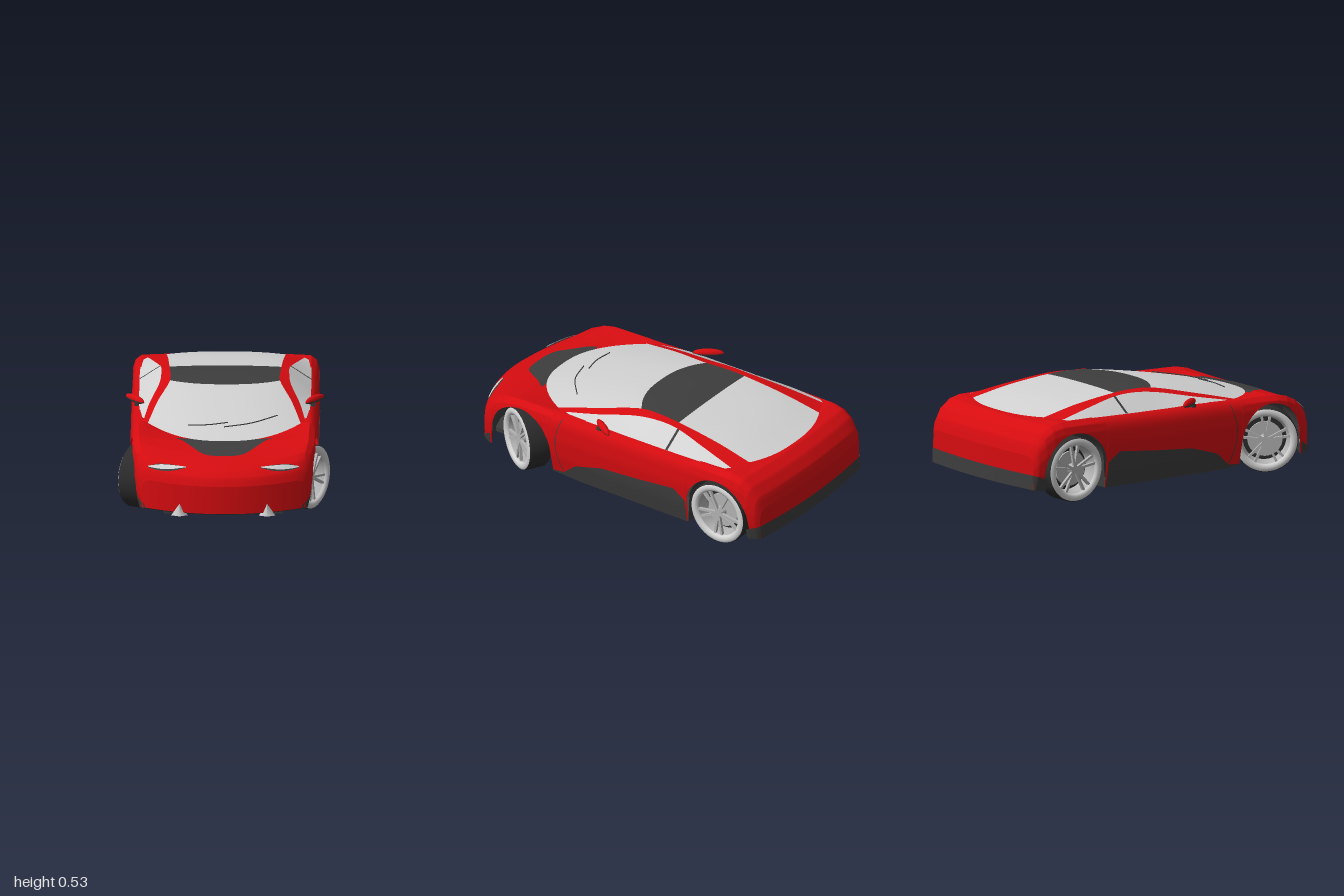
import * as THREE from 'three';

const mat = (name, color) => {
  const m = new THREE.MeshStandardMaterial({ color, side: THREE.DoubleSide });
  m.name = name;
  return m;
};
const { lerp, smoothstep } = THREE.MathUtils;

// Piecewise interpolation in rows [key, value, value...], keys ascending
function keyed(rows, t, col = 1) {
  let i = 0;
  while (i < rows.length - 2 && t > rows[i + 1][0]) i++;
  const a = rows[i], b = rows[i + 1];
  const k = Math.min(1, Math.max(0, (t - a[0]) / (b[0] - a[0])));
  return lerp(a[col], b[col], k);
}

// Surface from a rule fn(u, v) -> [x, y, z], turned to face away from the car's middle
function grid(fn, nu, nv) {
  const pos = [], index = [];
  for (let i = 0; i <= nu; i++) for (let j = 0; j <= nv; j++) pos.push(...fn(i / nu, j / nv));
  const p = (u, v) => new THREE.Vector3(...fn(u, v));
  const c = p(0.5, 0.5);
  const n = p(0.52, 0.5).sub(p(0.48, 0.5)).cross(p(0.5, 0.52).sub(p(0.5, 0.48)));
  const out = n.dot(c.clone().sub(new THREE.Vector3(0, 0.2, c.z * 0.7))) > 0;
  for (let i = 0; i < nu; i++) for (let j = 0; j < nv; j++) {
    const a = i * (nv + 1) + j, b = a + nv + 1;
    if (out) index.push(a, b, b + 1, a, b + 1, a + 1);
    else index.push(a, b + 1, b, a, a + 1, b + 1);
  }
  const g = new THREE.BufferGeometry();
  g.setAttribute('position', new THREE.Float32BufferAttribute(pos, 3));
  g.setIndex(index);
  g.computeVertexNormals();
  return g;
}

// Body stations: z, half width, lower edge, shoulder height, centre height
const STATIONS = [
  [-1, 0.455, 0.09, 0.27, 0.275], [-0.985, 0.478, 0.085, 0.33, 0.34], [-0.94, 0.495, 0.08, 0.39, 0.397],
  [-0.88, 0.503, 0.08, 0.425, 0.43], [-0.8, 0.505, 0.07, 0.44, 0.432], [-0.6, 0.505, 0.05, 0.44, 0.4],
  [-0.2, 0.505, 0.05, 0.43, 0.36], [0.2, 0.505, 0.05, 0.425, 0.36], [0.4, 0.505, 0.06, 0.418, 0.36],
  [0.67, 0.505, 0.06, 0.41, 0.385], [0.8, 0.5, 0.06, 0.395, 0.36], [0.9, 0.485, 0.062, 0.365, 0.325],
  [0.95, 0.475, 0.065, 0.33, 0.3], [0.985, 0.46, 0.07, 0.285, 0.27], [1, 0.44, 0.078, 0.235, 0.23],
];
const SIDE = [[0, 0.94], [0.3, 0.985], [0.6, 1], [0.82, 0.988], [0.93, 0.965], [1, 0.9]];
const FRONT = 0.59, REAR = -0.71, ARCH = 0.2;
const st = (t, c) => keyed(STATIONS, t, c);
// Nose and tail are bowed in plan
const bend = (t, x) => t - (0.7 * smoothstep(t, 0.55, 1) - 0.16 * smoothstep(-t, 0.7, 1)) * x * x;

function lowerEdge(t) {
  const z = bend(t, st(t, 1));
  let y = st(t, 2);
  for (const c of [FRONT, REAR]) {
    const d = ARCH * ARCH - (z - c) ** 2;
    if (d > 0) y = Math.max(y, 0.175 + Math.sqrt(d));
  }
  return Math.min(y, st(t, 3) - 0.015);
}
function sideAt(t, y, sign, off = 0) {
  const f = (y - st(t, 2)) / (st(t, 3) - st(t, 2));
  const x = st(t, 1) * keyed(SIDE, f);
  return [sign * (x + off), y, bend(t, x) + off * Math.sign(t) * smoothstep(Math.abs(t), 0.85, 1)];
}
function topAt(t, x, off = 0) {
  const r = Math.abs(x) / (st(t, 1) * 0.9);
  return [x, lerp(st(t, 4), st(t, 3), Math.min(1, r) ** 2.5) + off, bend(t, x) + off * smoothstep(t, 0.85, 1)];
}
function skin(t, s) {
  const sign = s < 0 ? -1 : 1, a = 1 - Math.abs(s);
  if (a < 0.6) return sideAt(t, lerp(lowerEdge(t), st(t, 3), a / 0.6), sign);
  return topAt(t, sign * st(t, 1) * 0.9 * (1 - (a - 0.6) / 0.4));
}

// Cabin curves, front to back: glass edge, window top, belt line, and bow/crown of the centre
const curve = (pts) => new THREE.CatmullRomCurve3(pts.map((p) => new THREE.Vector3(...p)));
const GLASS = curve([[0.41, 0.412, 0.4], [0.36, 0.465, 0.17], [0.295, 0.513, -0.07], [0.295, 0.521, -0.2],
  [0.3, 0.516, -0.32], [0.31, 0.487, -0.58], [0.32, 0.445, -0.8]]);
const WINDOW = curve([[0.435, 0.413, 0.36], [0.402, 0.453, 0.15], [0.352, 0.497, -0.07], [0.343, 0.512, -0.2],
  [0.345, 0.51, -0.33], [0.385, 0.478, -0.55], [0.42, 0.442, -0.75]]);
const BELT = curve([[0.45, 0.414, 0.3], [0.458, 0.426, 0.15], [0.461, 0.428, -0.07], [0.461, 0.43, -0.2],
  [0.461, 0.432, -0.33], [0.459, 0.437, -0.55], [0.445, 0.438, -0.72]]);
const CROWN = curve([[0.27, -0.022, 0], [0.18, -0.004, 0], [0.09, 0.004, 0], [0.045, 0.007, 0],
  [0, 0.007, 0], [-0.03, 0.008, 0], [-0.07, -0.004, 0]]);

function centre(v, u, off = 0) {
  const p = GLASS.getPoint(v), c = CROWN.getPoint(v), k = 1 - Math.abs(u) ** 2.5;
  return [p.x * u, p.y + c.y * k + off, p.z + c.x * k];
}
function strip(a, b, sign, v0, v1, off = 0) {
  return (u, w) => {
    const v = lerp(v0, v1, u), p = a.getPoint(v).lerp(b.getPoint(v), w);
    return [sign * (p.x + off), p.y + off, p.z];
  };
}

export function createModel() {
  const car = new THREE.Group();
  car.name = 'sportsCar';
  const red = mat('red paint', 0xd60c10), dark = mat('dark trim', 0x3d3d3d), light = mat('pale glass', 0xd2d2d2);
  const rubber = mat('tyre rubber', 0x2c2c2c), metal = mat('wheel metal', 0xb4b4b4);
  const add = (name, geo, m, parent = car) => {
    const mesh = new THREE.Mesh(geo, m);
    mesh.name = name;
    parent.add(mesh);
    return mesh;
  };

  // Painted shell with wheel arches, closed nose and tail
  add('bodyShell', grid((u, v) => skin(lerp(-1, 1, u), lerp(-1, 1, v)), 260, 60), red);
  for (const t of [1, -1]) {
    const face = (top, off) => (u, v) => {
      const p = skin(t, lerp(-1, 1, u));
      return [p[0], lerp(st(t, 2), Math.min(top, p[1]), v), p[2] + off * t];
    };
    add(t > 0 ? 'noseFace' : 'tailFace', grid(face(1, 0), 60, 3), red);
    if (t < 0) add('rearDiffuser', grid(face(0.17, 0.005), 60, 2), dark);
  }

  // Underside, wheel wells and floor
  add('underside', grid((u, v) => {
    const t = lerp(-1, 1, u), x = lerp(-0.94, 0.94, v) * st(t, 1);
    return [x, lowerEdge(t), bend(t, x)];
  }, 260, 12), dark);
  add('floorPan', new THREE.BoxGeometry(0.54, 0.27, 1.66), dark).position.set(0, 0.188, 0);
  add('frontLip', new THREE.BoxGeometry(0.64, 0.025, 0.1), dark).position.set(0, 0.068, 0.86);

  // Windscreen, roof and rear window
  const panel = (v0, v1) => grid((u, v) => centre(lerp(v0, v1, u), lerp(-1, 1, v)), 24, 32);
  add('windscreen', panel(0, 2 / 6), light);
  add('roof', panel(2 / 6, 4 / 6), dark);
  add('rearWindow', panel(4 / 6, 1), light);

  // Hood panel
  add('hoodPanel', grid((u, v) => {
    const k = lerp(-1, 1, v);
    return topAt(lerp(0.62, 0.83 - 0.03 * k ** 4, u), lerp(0.26, 0.13, u) * k, 0.004);
  }, 14, 20), dark);

  // Wipers
  for (const [v, a, b] of [[0.07, -0.5, 0.05], [0.075, 0, 0.75]]) {
    const pts = [0, 0.5, 1].map((k) => centre(v + 0.03 * k, lerp(a, b, k), 0.005));
    add('wiper', new THREE.TubeGeometry(curve(pts), 10, 0.003, 5), dark);
  }

  const SILL = [[-0.505, 0.19], [-0.43, 0.245], [-0.2, 0.22], [0.05, 0.2], [0.22, 0.15], [0.31, 0.075], [0.385, 0.068]];
  for (const s of [1, -1]) {
    // Roof pillars and side windows
    add('roofPillar', grid(strip(GLASS, WINDOW, s, 0, 1), 48, 3), red);
    add('sideWindow', grid(strip(WINDOW, BELT, s, 0.02, 1), 48, 3), light);
    add('windowDivider', grid(strip(WINDOW, BELT, s, 0.68, 0.692, 0.003), 2, 3), dark);

    // Sill, bumper corners and door seam
    add('sidePanel', grid((u, v) => {
      const t = lerp(-0.505, 0.385, u);
      return sideAt(t, lerp(st(t, 2), keyed(SILL, t), v), s, 0.005);
    }, 50, 6), dark);
    add('frontBumperCorner', grid((u, v) => {
      const t = lerp(0.95, 1, u);
      return sideAt(t, lerp(st(t, 2), lerp(0.14, 0.1, u), v), s, 0.004);
    }, 10, 4), dark);
    add('rearBumperCorner', grid((u, v) => {
      const t = lerp(-0.925, -1, u);
      return sideAt(t, lerp(st(t, 2), lerp(0.14, 0.17, u), v), s, 0.005);
    }, 10, 4), dark);
    add('doorSeam', grid((u, v) => sideAt(0.31 + 0.04 * Math.sin(u * 3) + 0.005 * v, lerp(0.08, 0.4, u), s, 0.002), 16, 1), dark);

    // Headlights and lower lamps
    const lamp = (size, off) => grid((u, v) => {
      const t = lerp(0.938, 0.972, u) + (v - 0.5) * size * Math.sin(Math.PI * lerp(0.08, 0.95, u));
      return topAt(t, s * lerp(0.2, 0.405, u), off);
    }, 16, 4);
    add('headlightFrame', lamp(0.034, 0.003), dark);
    add('headlight', lamp(0.022, 0.006), light);
    const fog = add('lowerLamp', new THREE.ConeGeometry(0.045, 0.065, 4), light);
    fog.scale.z = 0.5;
    fog.position.set(s * 0.235, 0.093, 0.962);

    // Door mirrors
    const mirror = new THREE.Group();
    mirror.name = 'doorMirror';
    mirror.position.set(s * 0.482, 0.443, 0.05);
    mirror.rotation.y = s * 0.98;
    car.add(mirror);
    [[0, red, 'mirrorCap', 0.024], [Math.PI / 2, dark, 'mirrorBase', 0.018]].forEach(([th, m, name, h]) =>
      add(name, new THREE.SphereGeometry(1, 20, 8, 0, Math.PI * 2, th, Math.PI / 2), m, mirror).scale.set(0.085, h, 0.02));
    add('mirrorArm', new THREE.BoxGeometry(0.06, 0.018, 0.025), dark).position.set(s * 0.455, 0.425, 0.08);

    // Wheels, the front pair steered
    for (const z of [FRONT, REAR]) {
      const wheel = new THREE.Group(), spin = new THREE.Group();
      wheel.name = z > 0 ? 'frontWheel' : 'rearWheel';
      wheel.position.set(s * 0.43, 0.175, z);
      wheel.rotation.y = z > 0 ? -0.52 : 0;
      spin.name = 'wheelAssembly';
      spin.rotation.z = -s * Math.PI / 2;
      wheel.add(spin);
      car.add(wheel);
      const lathe = (pts) => new THREE.LatheGeometry(pts.map((p) => new THREE.Vector2(...p)), 48);
      add('tyre', lathe([[0.125, -0.06], [0.15, -0.067], [0.167, -0.063], [0.175, -0.048], [0.175, 0.048], [0.17, 0.06]]), rubber, spin);
      add('sidewall', lathe([[0.17, 0.06], [0.162, 0.066], [0.148, 0.067], [0.136, 0.062], [0.131, 0.05]]), light, spin);
      add('rimBarrel', lathe([[0.125, -0.06], [0.118, 0], [0.131, 0.05]]), metal, spin);
      add('brakeDisc', new THREE.CylinderGeometry(0.095, 0.095, 0.012, 32), metal, spin).position.y = 0.005;
      add('wheelBack', new THREE.CylinderGeometry(0.118, 0.118, 0.008, 32), rubber, spin).position.y = -0.02;
      add('hub', new THREE.CylinderGeometry(0.022, 0.03, 0.035, 20), metal, spin).position.y = 0.035;
      for (let i = 0; i < 5; i++) for (const d of [-0.17, 0.17]) {
        const arm = new THREE.BoxGeometry(0.112, 0.016, 0.013).translate(0.076, 0.045, 0);
        add('spoke', arm, metal, spin).rotation.y = i * Math.PI * 0.4 + d;
      }
      add('axle', new THREE.CylinderGeometry(0.03, 0.03, 0.16, 12), dark, spin).position.y = -0.1;
    }
  }
  return car;
}
